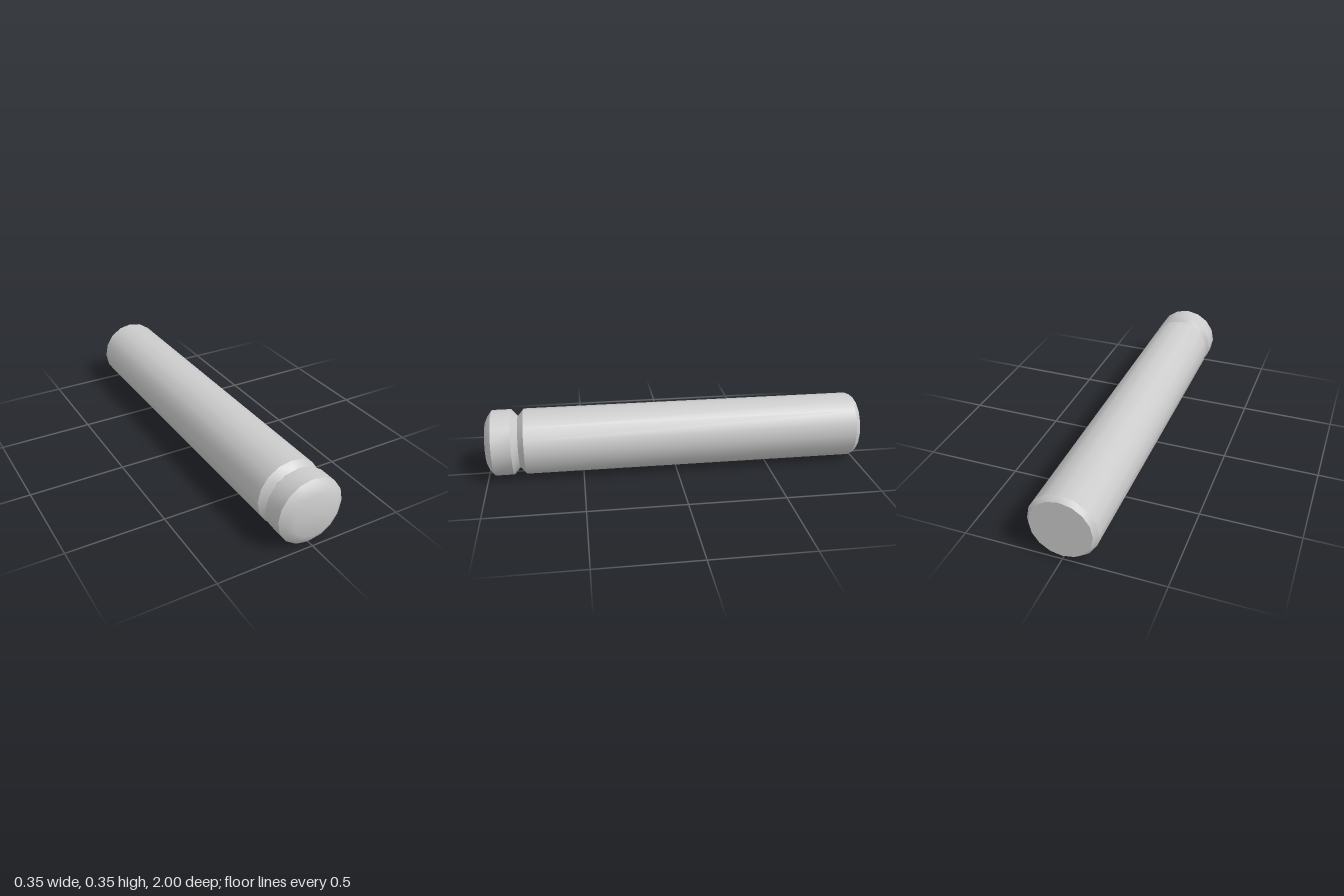
import * as THREE from 'three';
import { toCreasedNormals } from 'three/addons/utils/BufferGeometryUtils.js';

const SIDES = 16;
const RADIUS = 0.174;

export function createModel() {
  const group = new THREE.Group();
  group.name = 'groovedPin';

  // Profile as [radius, z], from the flat back end to the domed front end
  const profile = [
    [0, -1], [0.155, -1], [RADIUS, -0.975],                // chamfered back end
    [RADIUS, 0.8], [0.137, 0.831], [RADIUS, 0.864],        // shaft and V groove
    [RADIUS, 0.965], [0.15, 0.984], [0.115, 1], [0, 1],    // head with rounded nose
  ].map(([r, z]) => new THREE.Vector2(r, z));

  // Turn the lathe axis from y to z; smooth around, sharp at chamfers and groove
  const lathe = new THREE.LatheGeometry(profile, SIDES).rotateX(Math.PI / 2);
  const pin = new THREE.Mesh(
    toCreasedNormals(lathe, 0.58),
    new THREE.MeshStandardMaterial({ color: 0xcccccc })
  );
  pin.name = 'pinBody';
  pin.position.y = RADIUS;
  group.add(pin);

  return group;
}
